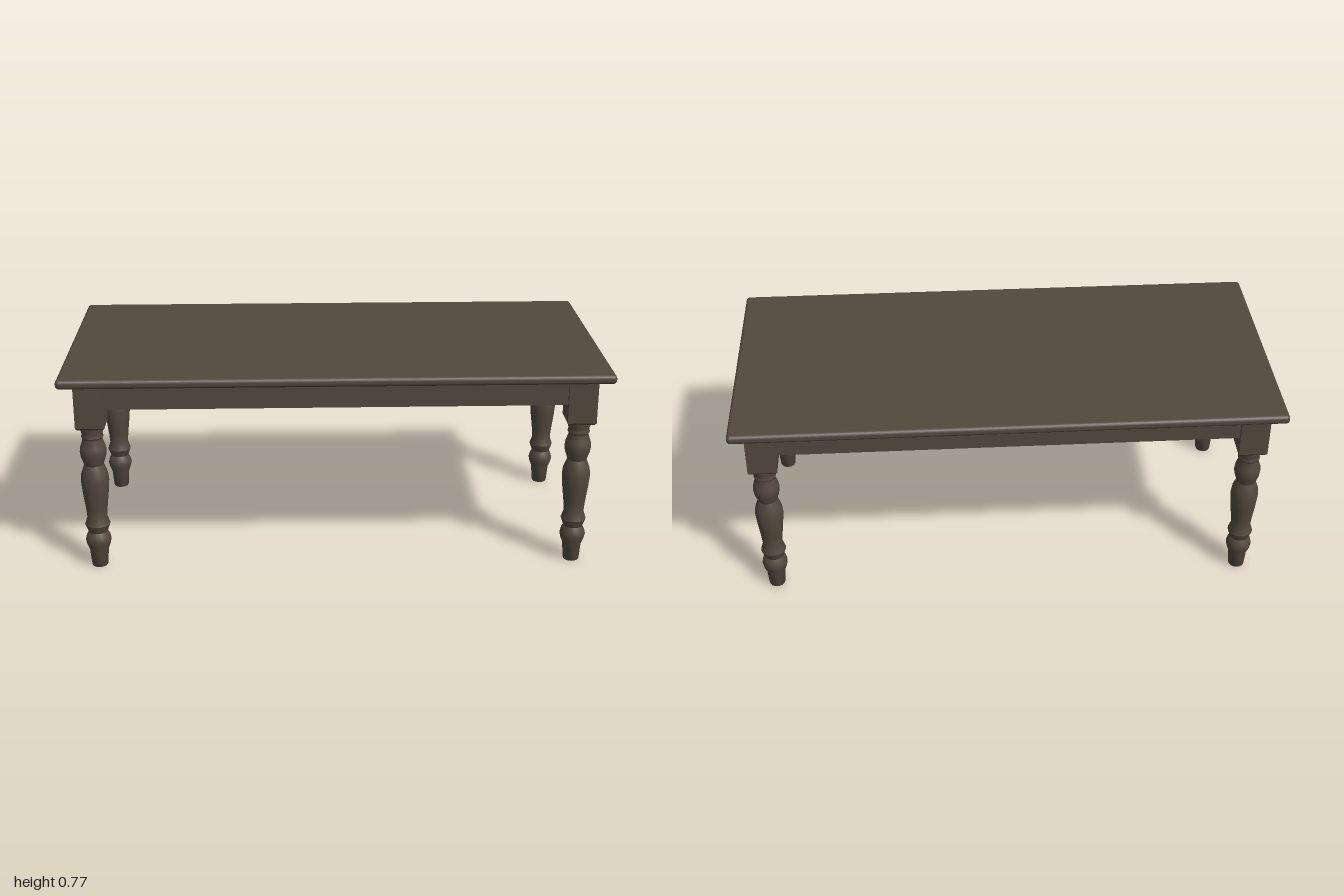
import * as THREE from 'three';
import { RoundedBoxGeometry } from 'three/addons/geometries/RoundedBoxGeometry.js';
import { toCreasedNormals } from 'three/addons/utils/BufferGeometryUtils.js';

const wood = new THREE.MeshStandardMaterial({ color: 0x52483d });
wood.name = 'darkWood';

const LEG_X = 0.893, LEG_Z = 0.378;

function add(parent, name, geometry, x, y, z) {
  const mesh = new THREE.Mesh(geometry, wood);
  mesh.name = name;
  mesh.position.set(x, y, z);
  parent.add(mesh);
  return mesh;
}

// Turned leg outline: radius, height
const legProfile = [
  [0, 0], [0.028, 0], [0.03, 0.004], [0.035, 0.065], [0.044, 0.088], [0.048, 0.107],
  [0.044, 0.124], [0.036, 0.14], [0.047, 0.17], [0.037, 0.2], [0.04, 0.235],
  [0.048, 0.3], [0.052, 0.345], [0.049, 0.375], [0.036, 0.41], [0.046, 0.44],
  [0.049, 0.462], [0.046, 0.482], [0.037, 0.507], [0.037, 0.514], [0.041, 0.52],
  [0.038, 0.532], [0.042, 0.545], [0.042, 0.562],
].map(([r, y]) => new THREE.Vector2(r, y));

export function createModel() {
  const table = new THREE.Group();
  table.name = 'diningTable';

  // Top board with softened edges
  add(table, 'tableTop', new RoundedBoxGeometry(2, 0.034, 0.966, 3, 0.014), 0, 0.751, 0);

  // Legs: square block with a chamfered foot over a turned post
  const post = toCreasedNormals(new THREE.LatheGeometry(legProfile, 18), 0.6);
  const block = new THREE.BoxGeometry(0.106, 0.167, 0.108);
  const chamfer = new THREE.BoxGeometry(0.106, 0.008, 0.108);
  const p = chamfer.attributes.position;
  for (let i = 0; i < p.count; i++) {
    if (p.getY(i) < 0) p.setXYZ(i, p.getX(i) * 0.88, p.getY(i), p.getZ(i) * 0.88);
  }
  chamfer.computeVertexNormals();

  for (const sx of [-1, 1]) {
    for (const sz of [-1, 1]) {
      const leg = new THREE.Group();
      leg.name = (sz > 0 ? 'front' : 'back') + (sx > 0 ? 'Left' : 'Right') + 'Leg';
      leg.position.set(sx * LEG_X, 0, sz * LEG_Z);
      add(leg, 'turnedPost', post, 0, 0, 0);
      add(leg, 'legBlock', block, 0, 0.6515, 0);
      add(leg, 'blockChamfer', chamfer, 0, 0.564, 0);
      table.add(leg);
    }
  }

  // Aprons, set slightly back from the outer faces of the blocks
  const longApron = new THREE.BoxGeometry(1.76, 0.1, 0.1);
  const shortApron = new THREE.BoxGeometry(0.1, 0.1, 0.72);
  for (const s of [-1, 1]) {
    add(table, s > 0 ? 'frontApron' : 'backApron', longApron, 0, 0.685, s * 0.367);
    add(table, s > 0 ? 'leftApron' : 'rightApron', shortApron, s * 0.881, 0.685, 0);
  }
  return table;
}
